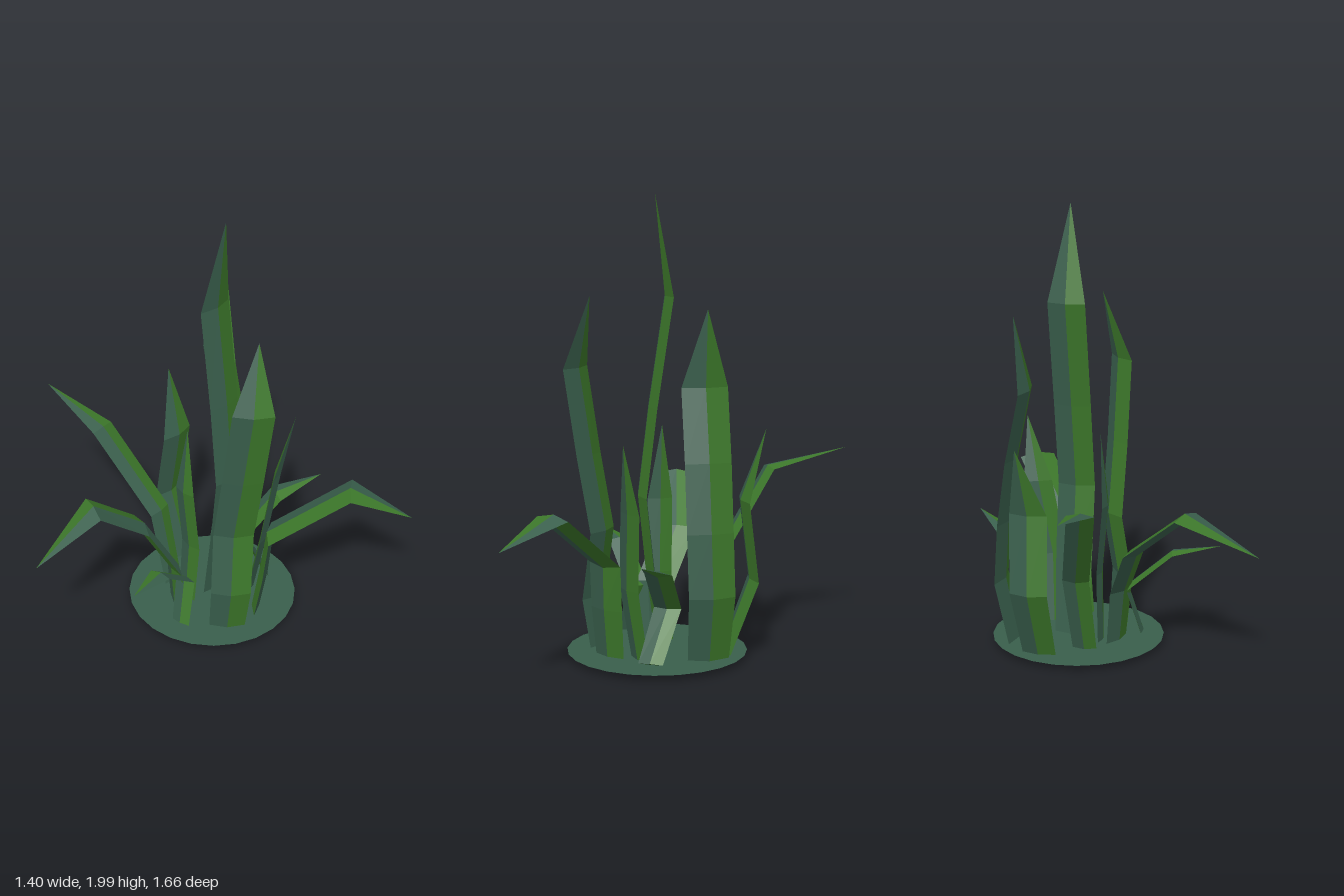
import * as THREE from 'three';

const green = new THREE.MeshStandardMaterial({ color: 0x3c772a, flatShading: true });
const teal = new THREE.MeshStandardMaterial({ color: 0x395f4c, flatShading: true });
const ground = new THREE.MeshStandardMaterial({ color: 0x395f4c, side: THREE.DoubleSide });

const V = (x, y, z) => new THREE.Vector3(x, y, z);

// One leaf: a flat diamond section swept along a bent spine, ending in a point.
// facing = heading of its outer side in degrees (0 = +z, 90 = +x).
function leaf(name, facing, width, spine) {
  const f = THREE.MathUtils.degToRad(facing);
  const across = V(Math.cos(f), 0, -Math.sin(f));
  const pts = spine.map(p => V(...p));
  const last = pts.length - 1;
  const rings = pts.map((p, i) => {
    const tangent = pts[Math.min(i + 1, last)].clone().sub(pts[Math.max(i - 1, 0)]).normalize();
    const out = across.clone().cross(tangent).normalize();
    const half = i === last ? 0 : width / 2 * (i === 0 ? 0.9 : 1);
    const ridge = half * 0.22;
    return [
      p.clone().addScaledVector(across, -half),
      p.clone().addScaledVector(out, ridge),
      p.clone().addScaledVector(across, half),
      p.clone().addScaledVector(out, -ridge),
    ];
  });

  // Opposite quarters share a colour: teal, green, teal, green
  const group = new THREE.Group();
  group.name = name;
  [teal, green].forEach((material, tone) => {
    const v = [];
    const tri = (...c) => c.forEach(q => v.push(q.x, q.y, q.z));
    for (const a of [tone, tone + 2]) {
      const b = (a + 1) % 4;
      for (let i = 0; i < last; i++) {
        const lo = rings[i], hi = rings[i + 1];
        tri(lo[a], lo[b], hi[b]);
        if (i < last - 1) tri(lo[a], hi[b], hi[a]);
      }
    }
    // Cut end at the root
    const r = rings[0];
    if (tone === 0) tri(r[0], r[2], r[1]);
    else tri(r[0], r[3], r[2]);
    const g = new THREE.BufferGeometry();
    g.setAttribute('position', new THREE.Float32BufferAttribute(v, 3));
    g.computeVertexNormals();
    const mesh = new THREE.Mesh(g, material);
    mesh.name = name + (tone ? 'GreenFaces' : 'TealFaces');
    group.add(mesh);
  });
  return group;
}

export function createModel() {
  const model = new THREE.Group();
  model.name = 'grassClump';

  // Round ground patch
  const disc = new THREE.Mesh(new THREE.CircleGeometry(0.39, 24), ground);
  disc.name = 'groundDisc';
  disc.rotation.x = -Math.PI / 2;
  disc.position.set(0.17, 0.035, 0.08);
  model.add(disc);

  // Upright leaves
  model.add(
    leaf('tallLeaf', 0, 0.17, [[0.2, 0.03, 0.07], [0.2, 0.42, 0.12], [0.195, 0.72, 0.15],
      [0.2, 1.1, 0.105], [0.205, 1.57, 0.035], [0.2, 2, 0.095]]),
    leaf('frontLeftLeaf', -45, 0.18, [[0.04, 0.02, 0.3], [0.03, 0.25, 0.33], [0.07, 0.55, 0.3],
      [0.06, 0.88, 0.355], [0.055, 1.26, 0.41], [0.13, 1.57, 0.36]]),
    leaf('sideLeaf', 90, 0.2, [[0.42, 0.05, -0.085], [0.48, 0.33, -0.085], [0.465, 0.6, -0.08],
      [0.425, 0.89, -0.08], [0.36, 1.2, -0.08], [0.41, 1.53, -0.08]]),
    leaf('backLeaf', 180, 0.17, [[0.27, 0.03, -0.2], [0.28, 0.35, -0.32], [0.29, 0.7, -0.275],
      [0.32, 1.01, -0.36]]),
    leaf('frontRightLeaf', 25, 0.13, [[0.32, 0.04, 0.19], [0.34, 0.35, 0.24], [0.41, 0.69, 0.25],
      [0.47, 0.99, 0.29]]),
    leaf('innerLeaf', 90, 0.11, [[0.05, 0.01, 0.03], [0.06, 0.35, 0.045], [0.03, 0.67, 0.035],
      [0.05, 1, 0.03]]),
  );

  // Drooping and outward-leaning leaves
  model.add(
    leaf('backDroopLeaf', 185, 0.12, [[0.09, 0.04, -0.1], [0.1, 0.39, -0.2], [0.0, 0.78, -0.47],
      [-0.01, 0.855, -0.83]]),
    leaf('leftDroopLeaf', -110, 0.17, [[-0.02, 0.04, 0.04], [-0.04, 0.28, 0.04], [-0.13, 0.5, -0.08],
      [-0.37, 0.7, -0.135], [-0.7, 0.55, -0.15]]),
    leaf('smallLeftLeaf', -80, 0.1, [[-0.11, 0.05, 0.15], [-0.05, 0.26, 0.12], [-0.25, 0.43, 0.16],
      [-0.46, 0.465, 0.21]]),
    leaf('smallRightLeaf', 60, 0.12, [[0.44, 0.05, 0.17], [0.37, 0.27, 0.08], [0.52, 0.455, 0.155],
      [0.7, 0.53, 0.265]]),
    leaf('frontDroopLeaf', 38, 0.17, [[0.23, 0.02, 0.3], [0.26, 0.25, 0.32], [0.28, 0.45, 0.33],
      [0.52, 0.71, 0.59], [0.66, 0.615, 0.83]]),
  );
  return model;
}
